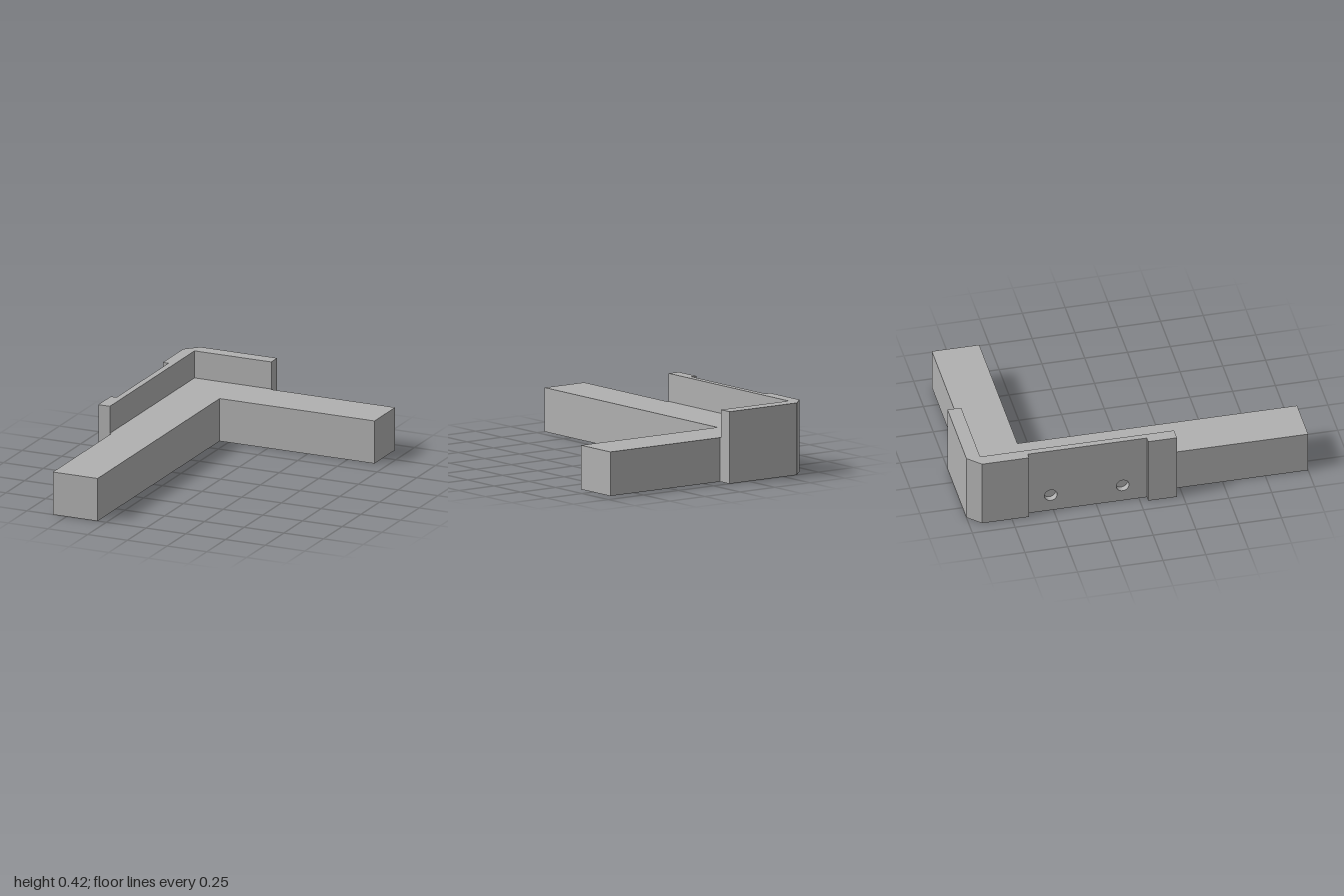
import * as THREE from 'three';

export function createModel() {
  const model = new THREE.Group();
  const grey = new THREE.MeshStandardMaterial({ color: 0xb0b0b0 });
  const beamH = 0.255, guardH = 0.417;

  const add = (name, geometry) => {
    const mesh = new THREE.Mesh(geometry, grey);
    mesh.name = name;
    model.add(mesh);
  };

  // Raise a floor plan, given as [x, z] points, to a height
  const raise = (plan, height) => {
    const shape = new THREE.Shape(plan.map(([x, z]) => new THREE.Vector2(x, -z)));
    return new THREE.ExtrudeGeometry(shape, { depth: height, bevelEnabled: false }).rotateX(-Math.PI / 2);
  };

  // L-shaped beam, slightly wider where it meets the guard
  add('cornerBeam', raise([
    [-0.587, 1], [-0.305, 1], [-0.305, -0.635], [0.67, -0.635], [0.67, -0.912],
    [-0.114, -0.912], [-0.114, -0.92], [-0.597, -0.92], [-0.597, 0.214], [-0.587, 0.214],
  ], beamH));

  // Guard wrapping the corner, with a chamfered outer edge
  add('cornerGuard', raise([
    [-0.597, -0.92], [-0.114, -0.92], [-0.114, -1], [-0.597, -1],
    [-0.67, -0.925], [-0.67, -0.65], [-0.597, -0.65],
  ], guardH));

  // Thick end of the guard
  add('guardEnd', raise([[-0.67, 0.046], [-0.67, 0.214], [-0.597, 0.214], [-0.597, 0.046]], guardH));

  // Thin recessed panel with two round holes
  const panel = new THREE.Shape();
  panel.moveTo(-0.65, 0).lineTo(0.046, 0).lineTo(0.046, guardH).lineTo(-0.65, guardH).closePath();
  for (const z of [-0.515, -0.095]) {
    panel.holes.push(new THREE.Path().absarc(z, 0.105, 0.037, 0, Math.PI * 2, true));
  }
  add('recessedPanel', new THREE.ExtrudeGeometry(panel, { depth: 0.037, bevelEnabled: false, curveSegments: 24 })
    .rotateY(-Math.PI / 2).translate(-0.597, 0, 0));

  return model;
}
